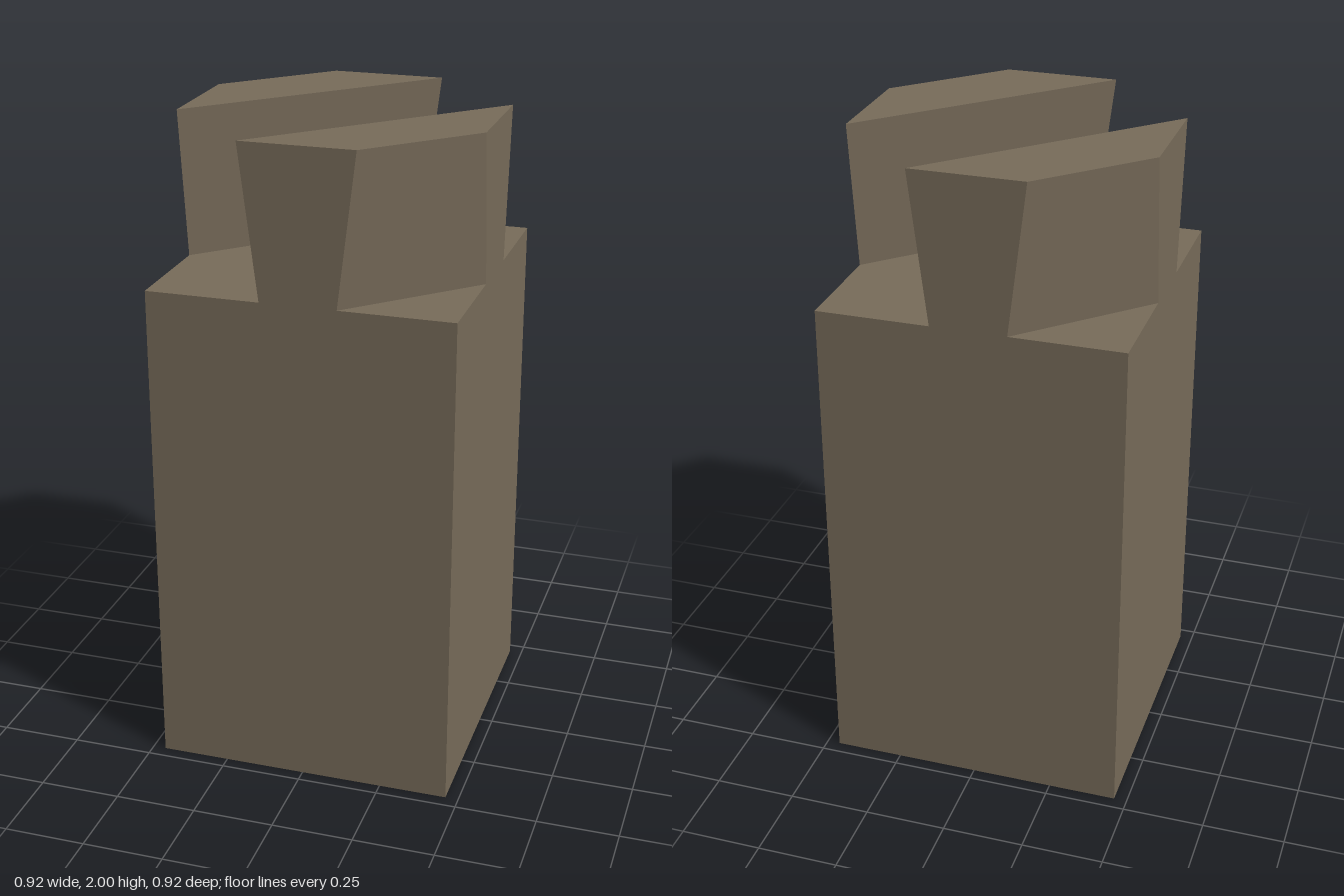
import * as THREE from 'three';

const HALF = 0.46;      // half width of the square post
const SHOULDER = 1.54;  // top of the post
const TOP = 2;          // top of the prongs

// Diagonal band across the +x +z corner, clipped by the post's sides
const band = (t, y) => [[-t, y, HALF], [t, y, HALF], [HALF, y, t], [HALF, y, -t]];

// Flaring prong lofted between a narrow lower band and a wide upper band
function prongGeometry() {
  const low = band(0.115, SHOULDER), high = band(0.172, TOP);
  const pos = [];
  const quad = (a, b, c, d) => pos.push(...a, ...b, ...c, ...a, ...c, ...d);
  for (let i = 0; i < 4; i++) {
    const j = (i + 1) % 4;
    quad(low[i], low[j], high[j], high[i]);
  }
  quad(...high);
  const geo = new THREE.BufferGeometry();
  geo.setAttribute('position', new THREE.Float32BufferAttribute(pos, 3));
  geo.computeVertexNormals();
  return geo;
}

export function createModel() {
  const group = new THREE.Group();
  group.name = 'notchedPost';
  const stone = new THREE.MeshStandardMaterial({ color: 0x786c5a });
  stone.name = 'brownStone';

  // Square post
  const post = new THREE.Mesh(new THREE.BoxGeometry(HALF * 2, SHOULDER, HALF * 2), stone);
  post.position.y = SHOULDER / 2;
  post.name = 'post';
  group.add(post);

  // Two opposite prongs with a diagonal slot between them
  const geo = prongGeometry();
  ['frontProng', 'backProng'].forEach((name, i) => {
    const prong = new THREE.Mesh(geo, stone);
    prong.rotation.y = i * Math.PI;
    prong.name = name;
    group.add(prong);
  });
  return group;
}
